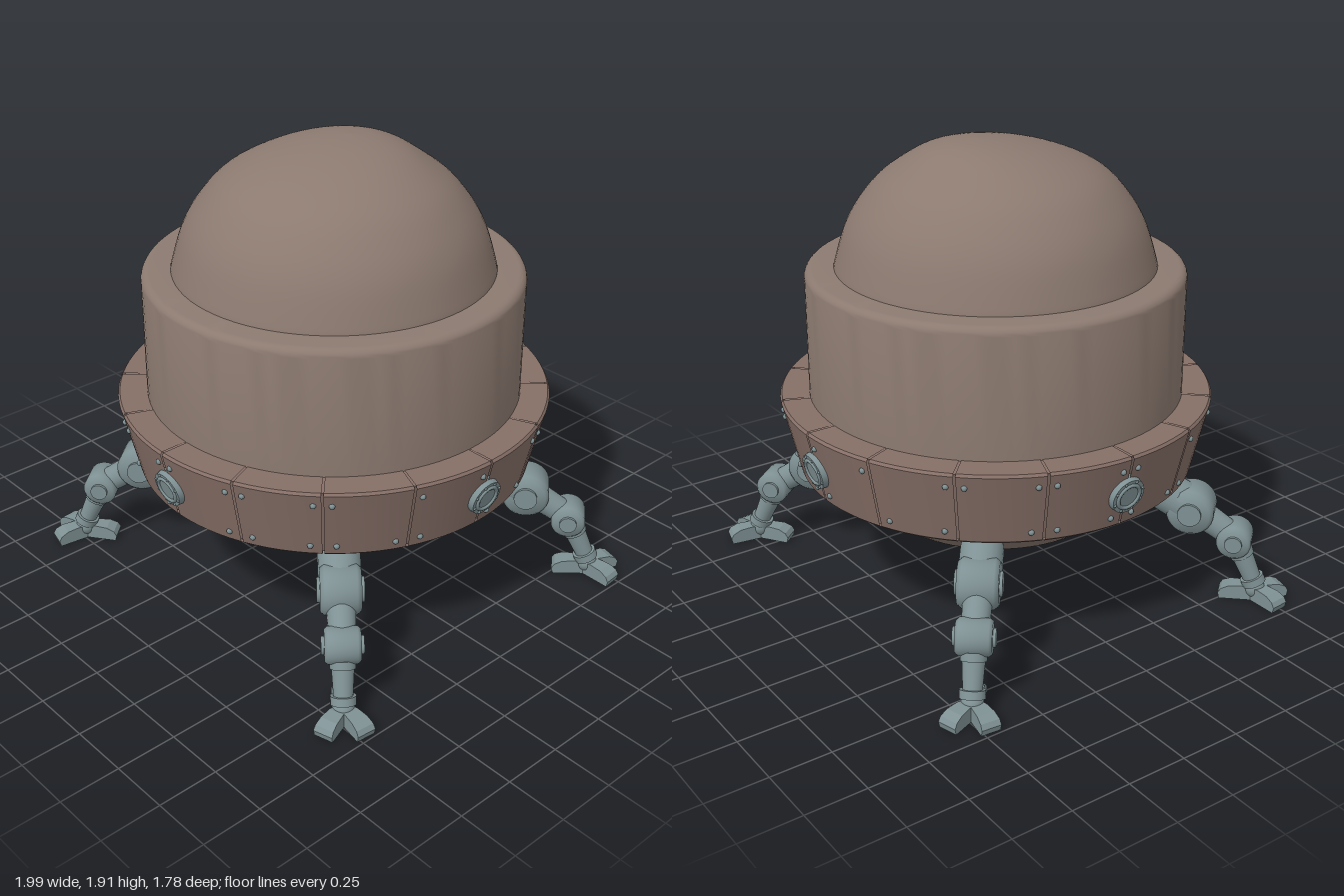
import * as THREE from 'three';
import { toCreasedNormals } from 'three/addons/utils/BufferGeometryUtils.js';

const material = (name, color, side = THREE.FrontSide) => {
  const m = new THREE.MeshStandardMaterial({ color, side });
  m.name = name;
  return m;
};

export function createModel() {
  const hull = material('hullBrown', 0x8c7a70);
  const plate = material('plateBrown', 0x866f67, THREE.DoubleSide);
  const metal = material('greyMetal', 0x7f9194);
  const model = new THREE.Group();
  model.name = 'landerPod';

  const add = (parent, name, geo, mat, x = 0, y = 0, z = 0) => {
    const m = new THREE.Mesh(geo, mat);
    m.name = name;
    m.position.set(x, y, z);
    parent.add(m);
    return m;
  };
  const subgroup = (parent, name, angle = 0) => {
    const g = new THREE.Group();
    g.name = name;
    g.rotation.y = angle;
    parent.add(g);
    return g;
  };
  const lathe = (pts, segs = 96, start = 0, len = Math.PI * 2, crease = 0.5) => toCreasedNormals(
    new THREE.LatheGeometry(pts.map(p => new THREE.Vector2(...p)), segs, start, len), crease);

  const body = subgroup(model, 'body');
  body.position.x = 0.012;

  // Dome: smooth profile whose crown leans to the back
  const domeCurve = new THREE.SplineCurve([
    [0.652, 1.38], [0.645, 1.42], [0.6, 1.56], [0.535, 1.67], [0.44, 1.77],
    [0.29, 1.855], [0.14, 1.9], [0, 1.914],
  ].map(p => new THREE.Vector2(...p)));
  const domeGeo = new THREE.LatheGeometry(domeCurve.getPoints(40), 80);
  const dp = domeGeo.attributes.position;
  for (let i = 0; i < dp.count; i++) {
    const t = Math.max(0, (dp.getY(i) - 1.77) / 0.144);
    dp.setZ(i, dp.getZ(i) - 0.09 * t * t);
  }
  domeGeo.computeVertexNormals();
  add(body, 'dome', domeGeo, hull);

  // Drum with a rounded shoulder
  const drum = [[0.77, 0.84], [0.77, 1.36]];
  for (let i = 1; i <= 6; i++) {
    const a = i * Math.PI / 12;
    drum.push([0.735 + 0.035 * Math.cos(a), 1.36 + 0.035 * Math.sin(a)]);
  }
  drum.push([0.6, 1.395]);
  add(body, 'drum', lathe(drum), hull);

  // Underside cone with a shallow recess
  add(body, 'underside', lathe([
    [0, 0.42], [0.25, 0.412], [0.4, 0.39], [0.455, 0.345], [0.485, 0.345],
    [0.5, 0.355], [0.74, 0.525], [0.765, 0.54], [0.81, 0.555],
  ]), hull);

  // Skirt backing, then sixteen plates with narrow seams
  add(body, 'skirtBacking', lathe([
    [0.76, 0.555], [0.805, 0.56], [0.874, 0.862], [0.76, 0.866],
  ]), plate);
  const step = Math.PI / 8, gap = 0.005;
  const skirtRadius = y => 0.82 + 0.07 * (y - 0.56) / 0.3;
  const tilt = Math.atan2(0.07, 0.3);
  const plateProfile = [[0.77, 0.548], [0.808, 0.55], [0.82, 0.56], [0.89, 0.858], [0.882, 0.869], [0.76, 0.869]];
  const rivetGeo = new THREE.SphereGeometry(0.012, 10, 8);
  for (let i = 0; i < 16; i++) {
    add(body, 'skirtPlate', lathe(plateProfile, 6, i * step + gap, step - 2 * gap), plate);
    // Rivets near the plate corners, a few left out
    [[0.04, 0.81], [step - 0.04, 0.81], [0.06, 0.6], [step - 0.06, 0.6]].forEach(([a, y], k) => {
      if ((i * 3 + k) % 5 === 2) return;
      const g = subgroup(body, 'rivetMount', i * step + a);
      add(g, 'rivet', rivetGeo, metal, 0, y, skirtRadius(y));
    });
  }

  // Four portholes
  for (let i = 0; i < 4; i++) {
    const mount = subgroup(body, 'portholeMount', i * Math.PI / 2);
    const port = subgroup(mount, 'porthole');
    port.position.set(0, 0.7, skirtRadius(0.7));
    port.rotation.x = tilt;
    add(port, 'portholeFlange', new THREE.CylinderGeometry(0.074, 0.08, 0.04, 32), metal).rotation.x = Math.PI / 2;
    add(port, 'portholeRing', new THREE.TorusGeometry(0.051, 0.008, 8, 32), metal, 0, 0, 0.02);
    for (let k = 0; k < 8; k++) {
      const a = (k + 0.5) * Math.PI / 4;
      add(port, 'portholeBolt', new THREE.SphereGeometry(0.006, 8, 6), metal,
        0.066 * Math.cos(a), 0.066 * Math.sin(a), 0.02);
    }
  }

  // Toe: side profile extruded, widening towards the tip
  const toeShape = new THREE.Shape([
    [0, 0], [0.138, 0], [0.144, 0.025], [0.132, 0.045], [0.1, 0.06], [0.05, 0.064], [0, 0.055],
  ].map(p => new THREE.Vector2(...p)));
  const toeGeo = new THREE.ExtrudeGeometry(toeShape, { depth: 0.08, bevelEnabled: false });
  toeGeo.translate(0, 0, -0.04);
  const tp = toeGeo.attributes.position;
  for (let i = 0; i < tp.count; i++) tp.setZ(i, tp.getZ(i) * (0.65 + 2.6 * tp.getX(i)));
  toeGeo.computeVertexNormals();

  // Legs, each built along its own outward z axis
  const link = (parent, name, [y1, z1], [y2, z2], r1, r2) => {
    const len = Math.hypot(y2 - y1, z2 - z1);
    const m = add(parent, name, new THREE.CylinderGeometry(r2, r1, len, 24), metal, 0, (y1 + y2) / 2, (z1 + z2) / 2);
    m.rotation.x = Math.atan2(z2 - z1, y2 - y1);
  };
  const joint = (parent, name, [y, z], r, width) => {
    add(parent, name, lathe([
      [0, -width / 2], [r * 0.85, -width / 2], [r, -width / 2 + r * 0.18],
      [r, width / 2 - r * 0.18], [r * 0.85, width / 2], [0, width / 2],
    ], 28, 0, Math.PI * 2, 0.9), metal, 0, y, z).rotation.z = Math.PI / 2;
    add(parent, name + 'Cap', new THREE.CylinderGeometry(r * 0.5, r * 0.5, width + 0.024, 20), metal, 0, y, z)
      .rotation.z = Math.PI / 2;
  };
  const hip = [0.465, 0.7], shoulder = [0.395, 0.83], knee = [0.275, 1.015], ankle = [0.075, 1.105];
  for (const deg of [50, -49, 130, -130]) {
    const leg = subgroup(model, 'leg', deg * Math.PI / 180);
    add(leg, 'hipBall', new THREE.SphereGeometry(0.085, 24, 16), metal, 0, ...hip);
    link(leg, 'hipSleeve', hip, shoulder, 0.085, 0.085);
    joint(leg, 'upperJoint', shoulder, 0.098, 0.16);
    link(leg, 'upperLeg', shoulder, knee, 0.06, 0.052);
    joint(leg, 'knee', knee, 0.072, 0.14);
    link(leg, 'lowerLeg', knee, ankle, 0.05, 0.036);
    link(leg, 'kneeCollar', [0.225, 1.037], [0.195, 1.051], 0.053, 0.05);
    link(leg, 'ankleCollar', [0.1, 1.094], [0.07, 1.107], 0.05, 0.05);
    add(leg, 'ankleBall', new THREE.SphereGeometry(0.044, 20, 12), metal, 0, 0.05, 1.108);
    for (const a of [-Math.PI / 2 - 0.61, -Math.PI / 2 + 0.61, Math.PI / 2]) {
      add(leg, 'toe', toeGeo, metal, 0, 0, 1.105).rotation.y = a;
    }
  }
  return model;
}
